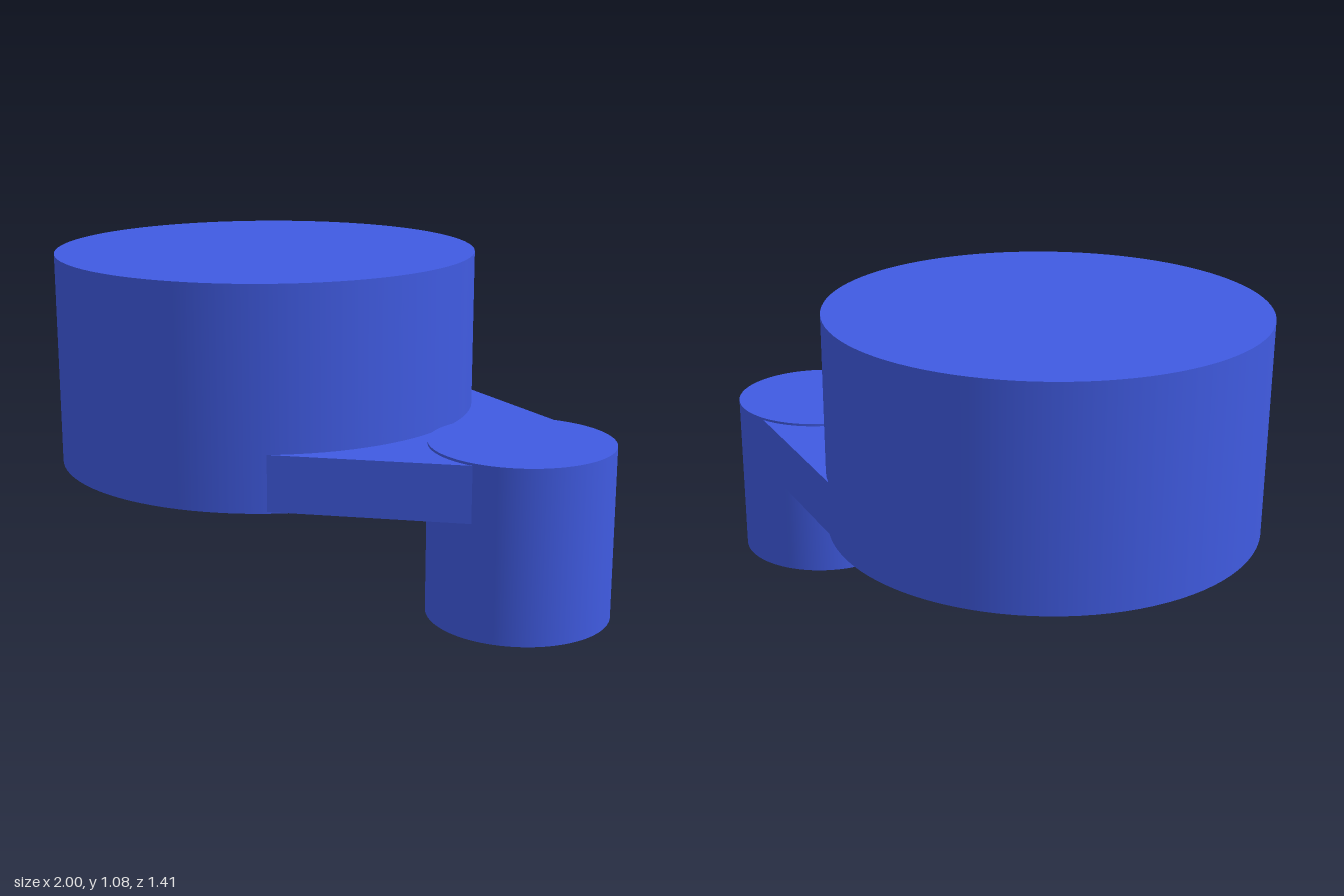
import * as THREE from 'three';

export function createModel() {
  const group = new THREE.Group();
  const material = new THREE.MeshStandardMaterial({ color: 0x405be2 });

  const add = (name, geometry, x, y) => {
    const mesh = new THREE.Mesh(geometry, material);
    mesh.name = name;
    mesh.position.set(x, y, 0);
    group.add(mesh);
  };

  // Upright cylinder standing between two heights
  const addCylinder = (name, radius, x, bottom, top) =>
    add(name, new THREE.CylinderGeometry(radius, radius, top - bottom, 96), x, (bottom + top) / 2);

  addCylinder('largeDrum', 0.705, -0.295, 0.365, 1.075);
  addCylinder('smallPost', 0.293, 0.707, 0, 0.56);

  // Tapered web joining the drum to the post
  const outline = new THREE.Shape([
    new THREE.Vector2(0.13, -0.56),
    new THREE.Vector2(0.705, -0.292),
    new THREE.Vector2(0.705, 0.292),
    new THREE.Vector2(0.13, 0.56),
  ]);
  const web = new THREE.ExtrudeGeometry(outline, { depth: 0.181, bevelEnabled: false });
  web.rotateX(-Math.PI / 2);
  add('connectingWeb', web, 0, 0.371);

  return group;
}
